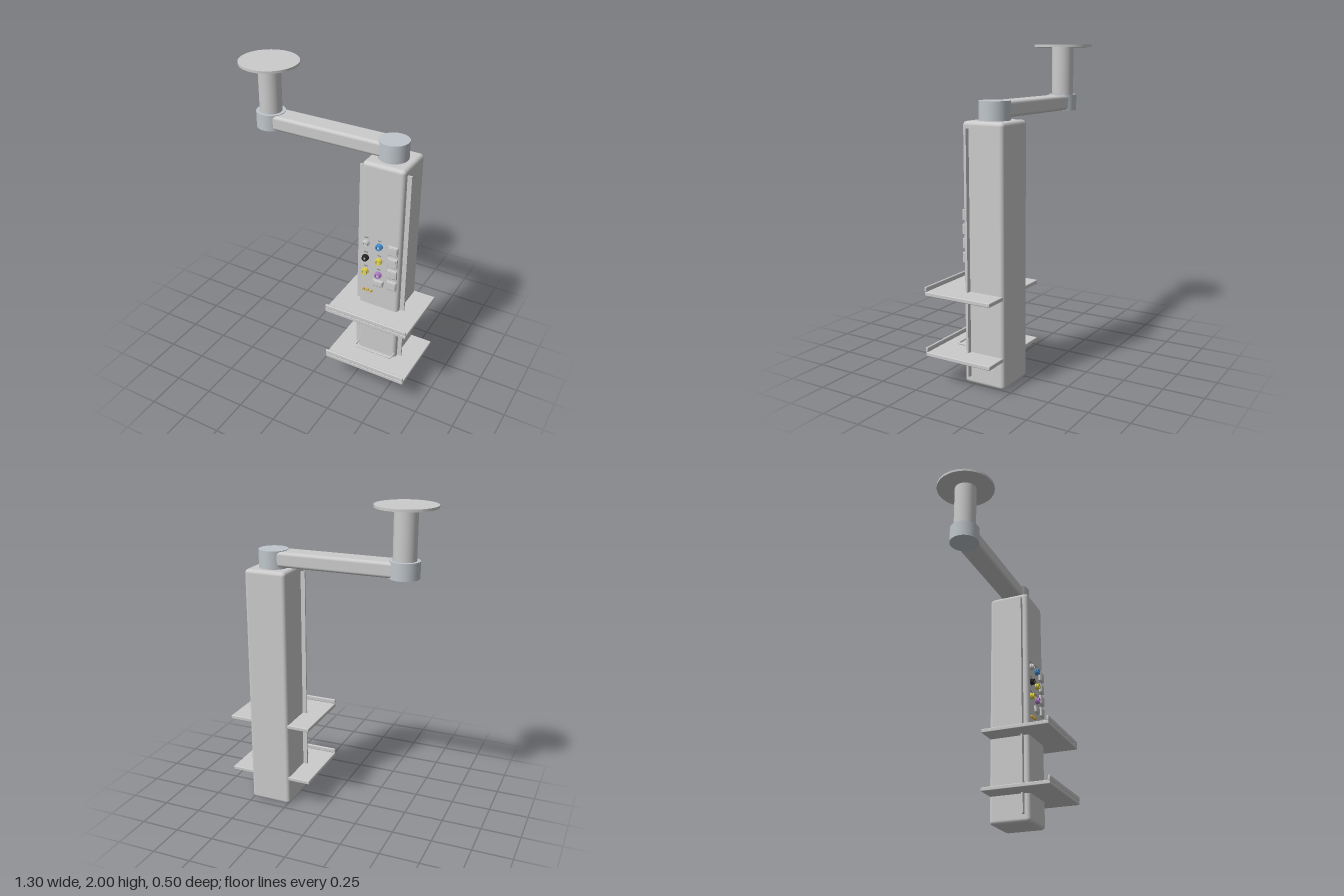
import * as THREE from 'three';
import { RoundedBoxGeometry } from 'three/addons/geometries/RoundedBoxGeometry.js';

const GREY = 0xcccccc, STEEL = 0xc0c6cc;

export function createModel() {
  const model = new THREE.Group();
  const materials = new Map();
  const material = (color) => {
    if (!materials.has(color)) materials.set(color, new THREE.MeshStandardMaterial({ color }));
    return materials.get(color);
  };
  const add = (name, geometry, x, y, z, color = GREY, parent = model) => {
    const mesh = new THREE.Mesh(geometry, material(color));
    mesh.name = name;
    mesh.position.set(x, y, z);
    parent.add(mesh);
    return mesh;
  };
  const group = (name) => {
    const g = new THREE.Group();
    g.name = name;
    model.add(g);
    return g;
  };
  const box = (w, h, d, r) => r ? new RoundedBoxGeometry(w, h, d, 3, r) : new THREE.BoxGeometry(w, h, d);
  // Upright cylinder given by its bottom and top heights
  const upright = (name, r, y0, y1, x, color) =>
    add(name, new THREE.CylinderGeometry(r, r, y1 - y0, 64), x, (y0 + y1) / 2, axisZ, color);

  const axisZ = -0.07, poleX = -0.468, colX = 0.37, frontZ = 0.068;

  // Ceiling mount and swing arm
  upright('ceilingPlate', 0.185, 1.985, 2, poleX);
  upright('ceilingPole', 0.07, 1.68, 1.985, poleX);
  upright('poleHub', 0.092, 1.579, 1.682, poleX, STEEL);
  upright('columnHub', 0.092, 1.565, 1.682, colX, STEEL);
  add('swingArm', box(0.81, 0.094, 0.145, 0.02), (poleX + colX) / 2, 1.631, axisZ);

  // Supply column with a thin rail on each side
  add('column', box(0.273, 1.57, 0.273, 0.024), colX, 0.785, axisZ);
  for (const side of [-1, 1])
    add('sideRail', box(0.03, 1.48, 0.011), colX + side * 0.15, 0.79, 0.025);

  // Shelves with a raised front lip
  for (const y of [0.562, 0.189]) {
    const shelf = group('shelf');
    add('shelfPlate', box(0.555, 0.025, 0.448, 0.005), colX, y, 0.024, GREY, shelf);
    add('shelfLip', box(0.555, 0.03, 0.015, 0.006), colX, y + 0.027, 0.242, GREY, shelf);
  }

  // Bent handle above the lower shelf
  const bar = new THREE.CurvePath();
  const v = (x, z) => new THREE.Vector3(x, 0, z);
  bar.add(new THREE.LineCurve3(v(-0.13, 0), v(-0.13, 0.035)));
  bar.add(new THREE.QuadraticBezierCurve3(v(-0.13, 0.035), v(-0.13, 0.055), v(-0.11, 0.055)));
  bar.add(new THREE.LineCurve3(v(-0.11, 0.055), v(0.11, 0.055)));
  bar.add(new THREE.QuadraticBezierCurve3(v(0.11, 0.055), v(0.13, 0.055), v(0.13, 0.035)));
  bar.add(new THREE.LineCurve3(v(0.13, 0.035), v(0.13, 0)));
  add('frontHandle', new THREE.TubeGeometry(bar, 60, 0.006, 10), colX, 0.235, frontZ - 0.005);

  // Gas outlets: a stepped coloured collar around a small central socket
  const collar = new THREE.LatheGeometry(
    [[0.022, 0], [0.022, 0.012], [0.018, 0.014], [0.018, 0.025], [0.011, 0.025], [0.011, 0.006], [0, 0.006]]
      .map(([r, h]) => new THREE.Vector2(r, h)), 28).toNonIndexed();
  collar.computeVertexNormals();
  collar.rotateX(Math.PI / 2);
  const socket = new THREE.CylinderGeometry(0.007, 0.007, 0.022, 20).rotateX(Math.PI / 2);
  const outletColors = [[0xd8d8d8, 0x3f8fd8], [0x262626, 0xe0d040], [0xe0d040, 0xb07cc8]];
  [1.028, 0.922, 0.821].forEach((y, row) => [0.278, 0.368].forEach((x, col) => {
    const outlet = group('gasOutlet');
    add('outletCollar', collar, x, y, frontZ, outletColors[row][col], outlet);
    add('outletSocket', socket, x, y, frontZ + 0.011, GREY, outlet);
    add('outletTab', box(0.024, 0.005, 0.004), x, y + 0.038, frontZ, 0x888888, outlet);
  }));

  // Power sockets: a raised plate with a slightly proud flap
  const powerSocket = (x, y, w, h) => {
    const g = group('powerSocket');
    add('socketPlate', box(w, h, 0.016, 0.004), x, y, frontZ + 0.004, GREY, g);
    add('socketFlap', box(w - 0.014, h - 0.014, 0.006, 0.002), x, y, frontZ + 0.012, GREY, g);
  };
  for (const y of [1.025, 0.94, 0.855, 0.77]) powerSocket(0.46, y, 0.064, 0.064);
  powerSocket(0.368, 0.757, 0.07, 0.045);

  // Row of small terminals
  const stud = new THREE.CylinderGeometry(0.008, 0.008, 0.016, 16).rotateX(Math.PI / 2);
  for (const x of [0.272, 0.298, 0.323]) add('terminalStud', stud, x, 0.682, frontZ + 0.006, 0xd8b040);

  return model;
}
